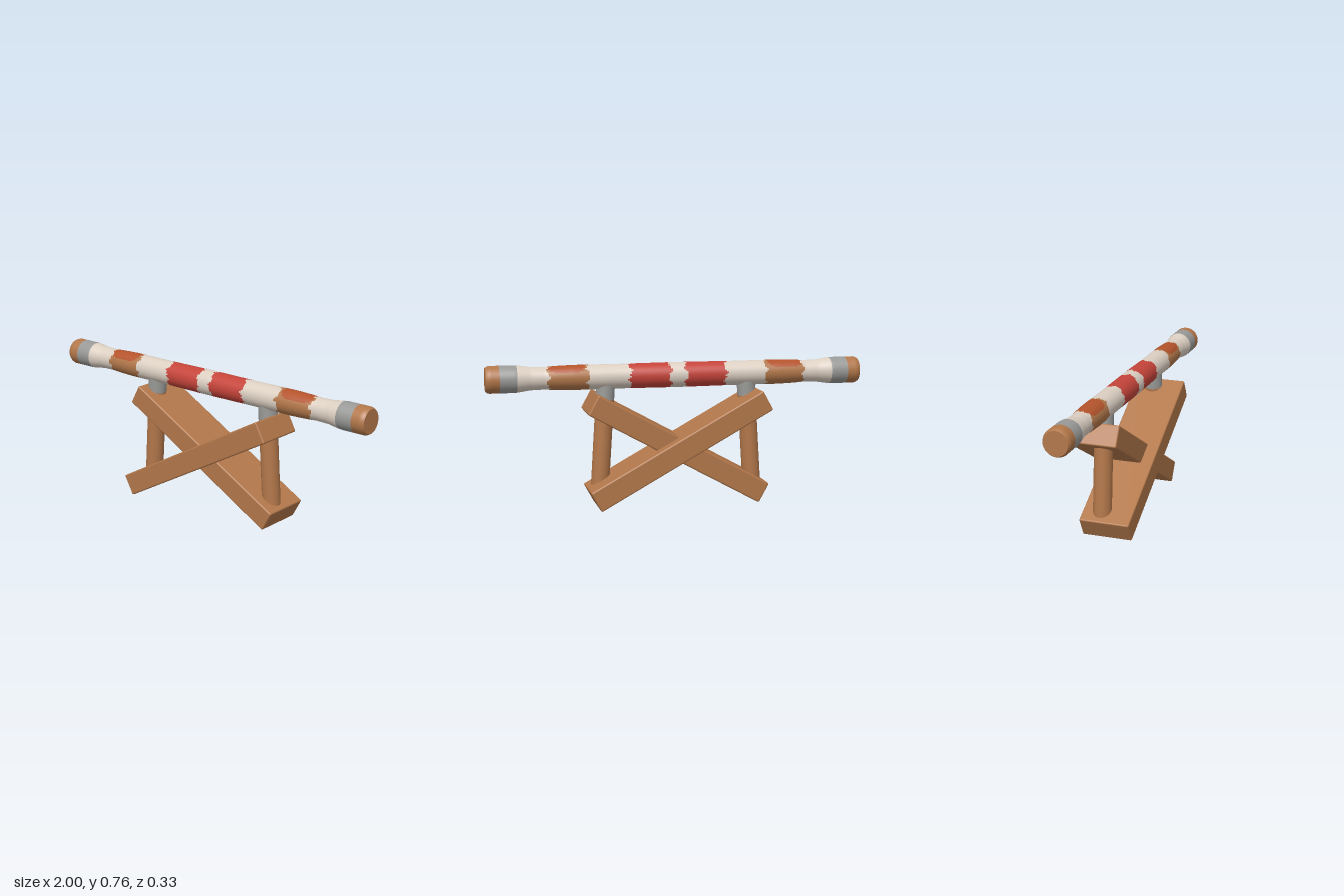
import * as THREE from 'three';
import { RoundedBoxGeometry } from 'three/addons/geometries/RoundedBoxGeometry.js';

const mat = (name, color) => new THREE.MeshStandardMaterial({ name, color });

export function createModel() {
  const wood = mat('wood', 0xb2774a);
  const steel = mat('steel', 0x999997);
  const cream = mat('cream', 0xdccfc2);
  const red = mat('red', 0xc5443a);
  const orange = mat('orange', 0xb4542c);
  const palette = [wood, steel, cream, red, orange];
  const model = new THREE.Group();
  model.name = 'crossedStandWithPole';

  const add = (name, geometry, material) => {
    const mesh = new THREE.Mesh(geometry, material);
    mesh.name = name;
    model.add(mesh);
    return mesh;
  };

  // Two crossed planks, each offset in depth
  for (const s of [1, -1]) {
    const plank = add(s > 0 ? 'frontPlank' : 'backPlank',
      new RoundedBoxGeometry(1.045, 0.116, 0.265, 2, 0.008), wood);
    plank.position.set(0, s > 0 ? 0.312 : 0.317, s * 0.032);
    plank.rotation.z = s * 0.504;
  }

  // Round posts leaning inward, with steel collars under the pole
  const rod = (name, a, b, r, material) => {
    const dir = b.clone().sub(a);
    const mesh = add(name, new THREE.CylinderGeometry(r, r, dir.length(), 32), material);
    mesh.position.copy(a).add(b).multiplyScalar(0.5);
    mesh.quaternion.setFromUnitVectors(new THREE.Vector3(0, 1, 0), dir.normalize());
  };
  for (const s of [1, -1]) {
    const side = s > 0 ? 'left' : 'right';
    const low = new THREE.Vector3(s * 0.413, 0.11, 0);
    const top = new THREE.Vector3(s * 0.377, 0.67, 0);
    const mid = low.clone().lerp(top, 0.84);
    rod(side + 'Post', low, mid, 0.048, wood);
    rod(side + 'Collar', mid, top, 0.049, steel);
  }

  // Pole profile: radius against distance from the middle
  const profile = [[0, 0.066], [0.3, 0.064], [0.55, 0.065], [0.64, 0.062], [0.7, 0.058],
    [0.77, 0.06], [0.83, 0.069], [0.85, 0.071], [0.985, 0.071], [1, 0.062]];
  const radius = (x) => {
    const d = Math.abs(x);
    const i = Math.max(1, profile.findIndex((p) => p[0] >= d - 1e-6));
    const [[x0, r0], [x1, r1]] = [profile[i - 1], profile[i]];
    return THREE.MathUtils.mapLinear(d, x0, x1, r0, r1);
  };
  const steps = 200, sides = 48;
  const points = [];
  for (let j = 0; j <= steps; j++) {
    const x = -1 + (2 * j) / steps;
    points.push(new THREE.Vector2(radius(x), x));
  }
  const pole = new THREE.LatheGeometry(points, sides);
  pole.rotateZ(-Math.PI / 2);

  // Paint bands with slightly uneven edges, plus an oval patch on top of each wooden band
  const paint = (x, up, angle) => {
    const d = Math.abs(x);
    const e = d + 0.008 * Math.sin(angle * 5 + x * 3) + 0.005 * Math.sin(angle * 11);
    if (d > 0.935) return 0;
    if (d > 0.84) return 1;
    if (e > 0.68) return 2;
    if (e > 0.475) {
      const tilt = Math.acos(THREE.MathUtils.clamp(up, -1, 1));
      return ((d - 0.585) / 0.095) ** 4 + (tilt / 1.05) ** 4 < 1 ? 4 : 0;
    }
    return e > 0.255 || e < 0.042 ? 2 : 3;
  };
  const faces = palette.map(() => []);
  const pos = pole.attributes.position, index = pole.index.array;
  for (let i = 0; i < index.length; i += 6) {
    const quad = Array.from(index.slice(i, i + 6));
    const c = new THREE.Vector3();
    quad.forEach((v) => c.add(new THREE.Vector3().fromBufferAttribute(pos, v)));
    c.divideScalar(6);
    faces[paint(c.x, c.y / Math.hypot(c.y, c.z), Math.atan2(c.z, c.y))].push(...quad);
  }
  pole.setIndex(faces.flat());
  let start = 0;
  faces.forEach((f, m) => {
    pole.addGroup(start, f.length, m);
    start += f.length;
  });
  add('pole', pole, palette).position.y = 0.699;

  // Flat ends of the pole
  for (const s of [1, -1]) {
    const cap = add(s > 0 ? 'leftPoleEnd' : 'rightPoleEnd', new THREE.CircleGeometry(0.062, sides), wood);
    cap.position.set(s, 0.699, 0);
    cap.rotation.y = (s * Math.PI) / 2;
  }
  return model;
}
